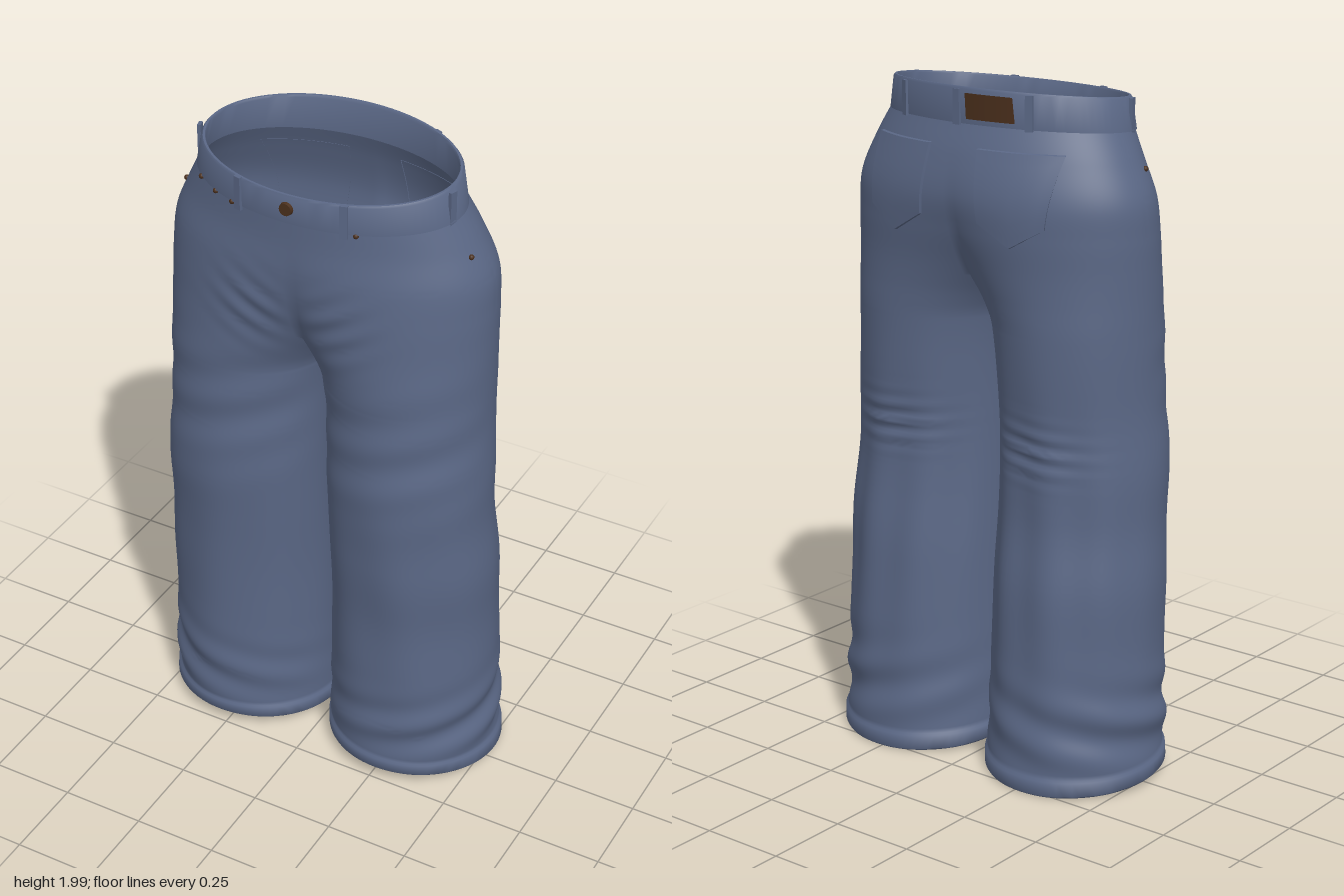
import * as THREE from 'three';
import { toCreasedNormals } from 'three/addons/utils/BufferGeometryUtils.js';

const denim = new THREE.MeshStandardMaterial({ color: 0x5a6785, side: THREE.DoubleSide });
denim.name = 'denim blue';
const leather = new THREE.MeshStandardMaterial({ color: 0x4a2f1c, side: THREE.DoubleSide });
leather.name = 'leather brown';

// Body sections: height, outer x, inner x (negative = halves joined), front z, back z
const SECTIONS = [
  [0.02, 0.528, 0.012, 0.245, -0.270], [0.10, 0.524, 0.014, 0.250, -0.266],
  [0.20, 0.521, 0.017, 0.250, -0.260], [0.40, 0.517, 0.020, 0.250, -0.250],
  [0.60, 0.513, 0.022, 0.250, -0.238], [0.80, 0.508, 0.022, 0.262, -0.215],
  [1.00, 0.498, 0.020, 0.270, -0.205], [1.20, 0.490, 0.014, 0.260, -0.212],
  [1.32, 0.488, 0.000, 0.256, -0.215], [1.36, 0.488, -0.015, 0.255, -0.216],
  [1.42, 0.488, -0.055, 0.255, -0.218], [1.50, 0.488, -0.130, 0.255, -0.225],
  [1.60, 0.487, -0.240, 0.260, -0.240], [1.70, 0.478, -0.350, 0.262, -0.250],
  [1.80, 0.435, -0.410, 0.258, -0.232], [1.89, 0.388, -0.388, 0.257, -0.200],
];

// Smooth interpolation through the section table
function section(y) {
  const n = SECTIONS.length;
  let i = 0;
  while (i < n - 2 && y > SECTIONS[i + 1][0]) i++;
  const at = (k) => SECTIONS[Math.max(0, Math.min(n - 1, k))];
  const [p, a, b, q] = [at(i - 1), at(i), at(i + 1), at(i + 2)];
  const h = b[0] - a[0], t = (y - a[0]) / h, s = 1 - t;
  return [1, 2, 3, 4].map((c) => {
    const ma = ((b[c] - p[c]) / (b[0] - p[0])) * h, mb = ((q[c] - a[c]) / (q[0] - a[0])) * h;
    return a[c] * (1 + 2 * t) * s * s + ma * t * s * s + b[c] * t * t * (3 - 2 * t) - mb * t * t * s;
  });
}

const bump = (v, centre, width) => Math.exp(-(((v - centre) / width) ** 2));

// Waist dips and hems rise towards the front
function tilt(y, z) {
  const slope = y > 1.7 ? (-0.1 * (y - 1.7)) / 0.27 : y < 0.4 ? 0.085 * (1 - y / 0.4) : 0;
  return y + slope * z;
}

// Cloth folds, as a displacement along the surface
function folds(side, x, y, a) {
  const back = Math.max(0, -Math.sin(a)), front = Math.max(0, Math.sin(a));
  const outer = 0.5 + 0.5 * Math.cos(a);
  return 0.007 * (0.4 + outer) * Math.sin(y * 42 + 3 * a + side) * bump(y, 0.2, 0.11)
    + 0.005 * back * Math.sin(y * 125 + x * 8) * bump(y, 1.0, 0.07) * bump(x, 0.25, 0.13)
    + 0.006 * back * Math.sin(a * 9 + y * 1.5) * bump(y, 0.65, 0.4)
    + 0.003 * front * Math.sin(a * 7 - y * 3 + side) * bump(y, 0.6, 0.4)
    + 0.004 * front * Math.sin(y * 75 - x * 45) * bump(y, 1.56, 0.1) * bump(x, 0.12, 0.1)
    + 0.004 * front * Math.sin(y * 40 - x * 12 * side) * bump(y, 1.2, 0.18)
    + 0.004 * outer * Math.sin(y * 17 + side * 2) * bump(y, 0.8, 0.4);
}

// Point on one half of the body; angle 0 is the outer side, positive is the front
function bodyPoint(side, y, a, off) {
  const [outer, inner, zf, zb] = section(y);
  const cx = (outer + inner) / 2, rx = (outer - inner) / 2;
  let x = Math.max(0, cx + rx * Math.cos(a));
  let z = (zf + zb) / 2 + ((zf - zb) / 2) * Math.sin(a);
  const fade = Math.min(1, x / 0.06);
  const d = folds(side, x, y, a) * fade + off * (y < 1 ? 1 : fade);
  x += d * Math.cos(a);
  z += d * Math.sin(a);
  return [side * x, tilt(y, z), z];
}

// Angle at which a half section reaches the centre line
function openAngle(y) {
  const [outer, inner] = section(y);
  return y <= 1.3201 ? Math.PI : Math.acos(Math.max(-1, -(outer + inner) / (outer - inner)));
}

function angleAt(x, y) {
  const [outer, inner] = section(y);
  return Math.acos(Math.max(-1, Math.min(1, (2 * x - outer - inner) / (outer - inner))));
}

// Adds a grid of quads to shared position and index lists
function addGrid(data, nu, nv, fn, flip) {
  const base = data.pos.length / 3, w = nu + 1;
  for (let j = 0; j <= nv; j++) for (let i = 0; i <= nu; i++) data.pos.push(...fn(i, j));
  for (let j = 0; j < nv; j++) for (let i = 0; i < nu; i++) {
    const a = base + j * w + i, b = a + 1, c = a + w, d = c + 1;
    if (flip) data.idx.push(a, c, b, b, c, d);
    else data.idx.push(a, b, c, b, d, c);
  }
}

function toGeometry(data, crease) {
  const g = new THREE.BufferGeometry();
  g.setAttribute('position', new THREE.Float32BufferAttribute(data.pos, 3));
  g.setIndex(data.idx);
  return toCreasedNormals(g, crease);
}

// Waistband point
function bandPoint(a, y, off) {
  const t = (y - 1.88) / 0.095;
  const rx = 0.389 - 0.019 * t + off, zf = 0.26 + 0.004 * t + off, zb = -0.2 - 0.006 * t - off;
  const z = (zf + zb) / 2 + ((zf - zb) / 2) * Math.sin(a);
  return [rx * Math.cos(a), tilt(y, z), z];
}

export function createModel() {
  const model = new THREE.Group();
  const add = (name, geo, mat, pos) => {
    const m = new THREE.Mesh(geo, mat);
    m.name = name;
    if (pos) m.position.set(...pos);
    model.add(m);
    return m;
  };

  // Legs and seat, starting with the turned hem
  const rows = [[0.1, -0.012], [0.034, -0.012], [0.03, -0.006], [0.03, 0.003], [0.034, 0.006], [0.072, 0.006], [0.077, 0]];
  for (let k = 9; k <= 189; k++) rows.push([k / 100, 0]);
  const body = { pos: [], idx: [] };
  const seg = 72;
  for (const side of [1, -1]) {
    addGrid(body, seg, rows.length - 1, (i, j) => {
      const [y, off] = rows[j];
      return bodyPoint(side, y, openAngle(y) * ((2 * i) / seg - 1), off);
    }, side > 0);
  }
  add('trouserBody', toGeometry(body, 1.1), denim);

  // Waistband, a closed strip with some thickness
  const strip = [[1.88, -0.008], [1.88, 0.006], [1.968, 0.006], [1.974, 0.002], [1.974, -0.004], [1.968, -0.008], [1.88, -0.008]];
  const band = { pos: [], idx: [] };
  addGrid(band, 80, strip.length - 1, (i, j) => bandPoint((i / 80) * Math.PI * 2, ...strip[j]), true);
  add('waistband', toGeometry(band, 0.7), denim);

  // Belt loops
  for (const a of [1.15, Math.PI - 1.15, 0.17, Math.PI - 0.17, -0.98, Math.PI + 0.98, -Math.PI / 2]) {
    const loop = add('beltLoop', new THREE.BoxGeometry(0.022, 0.098, 0.01), denim, bandPoint(a, 1.922, 0.008));
    loop.rotation.y = Math.atan2(Math.cos(a) / 0.38, Math.sin(a) / 0.235);
  }

  // Back pockets with a thin raised edge
  const us = [-1, -0.985, -0.75, -0.5, -0.25, 0, 0.25, 0.5, 0.75, 0.985, 1];
  const vs = [0, 0.01, 0.15, 0.3, 0.45, 0.6, 0.75, 0.9, 0.99, 1];
  for (const side of [1, -1]) {
    const pocket = { pos: [], idx: [] };
    addGrid(pocket, us.length - 1, vs.length - 1, (i, j) => {
      const u = us[i], v = vs[j];
      const x = 0.2 + u * (0.12 - 0.02 * v);
      const y = 1.825 - v * (0.19 + 0.06 * (1 - Math.abs(u)));
      const edge = i === 0 || j === 0 || i === us.length - 1 || j === vs.length - 1;
      return bodyPoint(side, y, -angleAt(x, y), edge ? -0.002 : 0.009);
    }, side < 0);
    add(side > 0 ? 'leftBackPocket' : 'rightBackPocket', toGeometry(pocket, 0.6), denim);
  }

  // Leather patch on the back of the waistband
  const patch = { pos: [], idx: [] };
  addGrid(patch, 8, 1, (i, j) => bandPoint(-2.04 + (0.39 * i) / 8, 1.893 + 0.066 * j, 0.0105), true);
  add('waistPatch', toGeometry(patch, 1), leather);

  // Front button
  const button = add('button', new THREE.CylinderGeometry(0.018, 0.02, 0.012, 20), leather, bandPoint(Math.PI / 2, 1.932, 0.01));
  button.rotation.x = Math.PI / 2;

  // Rivets at the front pockets and hips
  const rivets = [[-1, 0.32, 1.876], [-1, 0.25, 1.876], [-1, 0.185, 1.876], [1, 0.185, 1.876]]
    .map(([s, x, y]) => bodyPoint(s, y, angleAt(x, y), 0.004));
  for (const s of [1, -1]) rivets.push(bodyPoint(s, 1.78, 0.2, 0.001));
  for (const p of rivets) add('rivet', new THREE.SphereGeometry(0.008, 12, 8), leather, p);

  return model;
}
